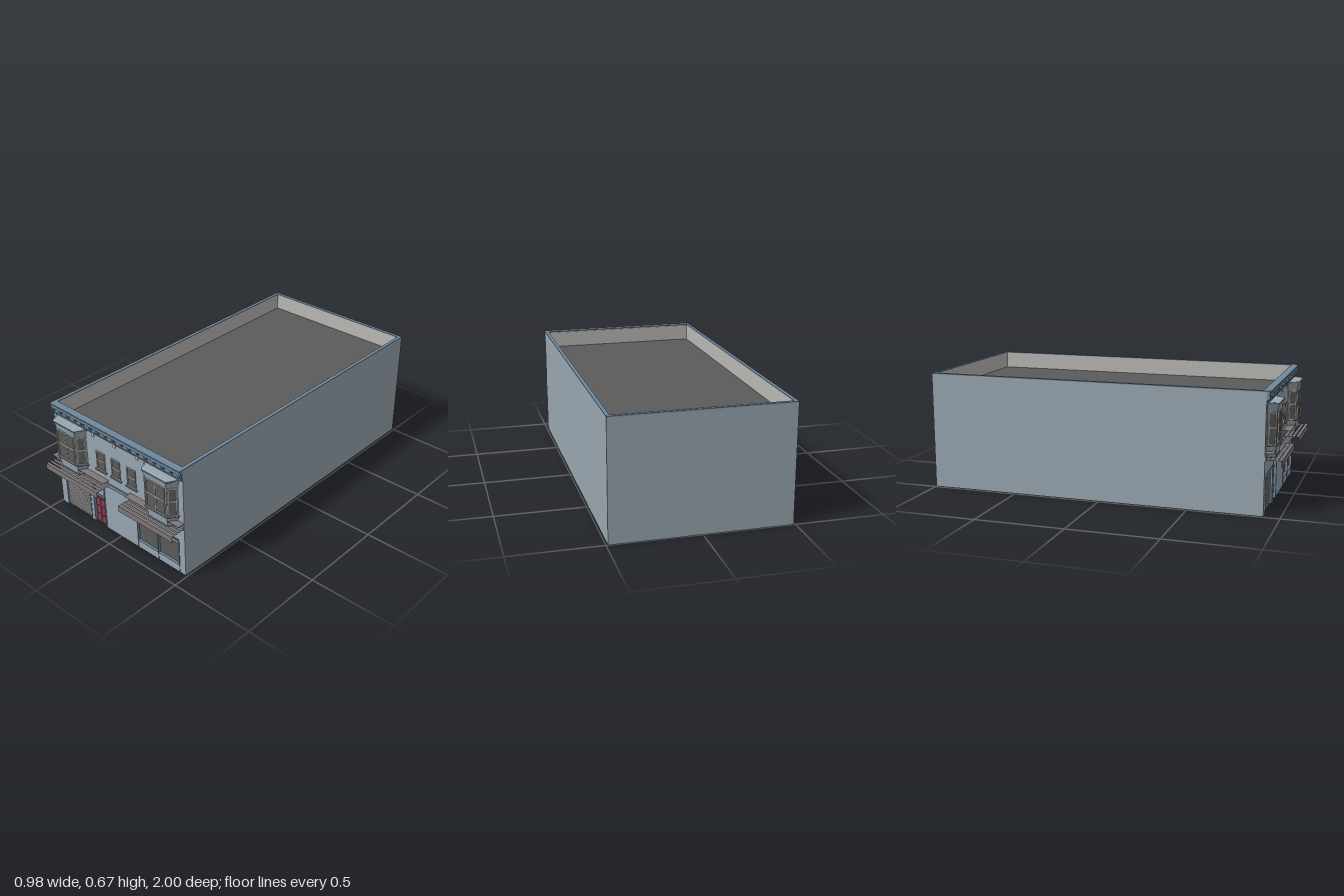
import * as THREE from 'three';

const mat = (name, color, side = THREE.FrontSide) => {
  const m = new THREE.MeshStandardMaterial({ color, side });
  m.name = name;
  return m;
};

export function createModel() {
  const wall = mat('pale blue wall', 0x98a6b0);
  const trim = mat('blue trim', 0x6f879b);
  const roofGrey = mat('roof and glass grey', 0x5b5b5b);
  const plaster = mat('light plaster', 0xbab8b4);
  const frame = mat('window frame', 0xc4beb5);
  const red = mat('door red', 0x833f4e);
  const canopyGrey = mat('canopy grey', 0x7e7677);

  const model = new THREE.Group();
  model.name = 'shopBuilding';

  // box given by its limits along each axis
  const box = (parent, name, m, x0, x1, y0, y1, z0, z1) => {
    const mesh = new THREE.Mesh(new THREE.BoxGeometry(x1 - x0, y1 - y0, z1 - z0), m);
    mesh.position.set((x0 + x1) / 2, (y0 + y1) / 2, (z0 + z1) / 2);
    mesh.name = name;
    parent.add(mesh);
    return mesh;
  };
  const group = (name, parent = model) => {
    const g = new THREE.Group();
    g.name = name;
    parent.add(g);
    return g;
  };

  const W = 0.49, H = 0.665, F = 0.91, B = -1, T = 0.02;

  // shell: side, back and front walls, open underneath
  const shell = group('shell');
  for (const s of [-1, 1]) {
    const a = s * W, b = s * (W - T + 0.004), c = s * (W - T);
    box(shell, 'sideWall', wall, Math.min(a, b), Math.max(a, b), 0, H - 0.006, B, F);
    box(shell, 'sideLining', plaster, Math.min(b, c), Math.max(b, c), 0, H - 0.006, B + T, F - T);
    box(shell, 'sideCoping', trim, Math.min(a, c), Math.max(a, c), H - 0.006, H, B, F);
  }
  box(shell, 'backWall', wall, -W + 0.016, W - 0.016, 0, H - 0.006, B, B + T - 0.004);
  box(shell, 'backLining', plaster, -W + T, W - T, 0, H - 0.006, B + T - 0.004, B + T);
  box(shell, 'backCoping', trim, -W + T, W - T, H - 0.006, H, B, B + T);
  box(shell, 'frontLining', plaster, -W + T, W - T, 0, H - 0.006, F - T - 0.004, F - T);
  box(shell, 'roof', roofGrey, -W + T, W - T, 0.555, 0.565, B + T, F - T - 0.004);

  // front wall with openings for garage, door and shop window
  const outline = new THREE.Shape();
  [[-0.474, 0], [-0.445, 0], [-0.445, 0.215], [-0.235, 0.215], [-0.235, 0], [-0.215, 0],
    [-0.215, 0.27], [-0.113, 0.27], [-0.113, 0], [0.474, 0], [0.474, H - 0.006], [-0.474, H - 0.006]]
    .forEach(([x, y], i) => (i ? outline.lineTo(x, y) : outline.moveTo(x, y)));
  const hole = new THREE.Path();
  hole.moveTo(0.135, 0.047);
  hole.lineTo(0.135, 0.215);
  hole.lineTo(0.45, 0.215);
  hole.lineTo(0.45, 0.047);
  hole.closePath();
  outline.holes.push(hole);
  const front = new THREE.Mesh(
    new THREE.ExtrudeGeometry(outline, { depth: T, bevelEnabled: false }), wall);
  front.position.z = F - T;
  front.name = 'frontWall';
  shell.add(front);

  // garage shutter with ribs
  const garage = group('garage');
  box(garage, 'shutter', plaster, -0.44, -0.24, 0, 0.213, F - T, F - 0.012);
  for (let i = 0; i < 16; i++)
    box(garage, 'shutterRib', plaster, -0.44, -0.24, 0.003 + i * 0.0132, 0.011 + i * 0.0132, F - 0.012, F - 0.008);
  for (const x of [-0.445, -0.24]) box(garage, 'jamb', trim, x, x + 0.005, 0, 0.215, F - T, F + 0.002);
  box(garage, 'lintel', trim, -0.445, -0.235, 0.212, 0.215, F - T, F + 0.002);

  // recessed entrance
  const entrance = group('entrance');
  box(entrance, 'door', red, -0.207, -0.121, 0, 0.18, F - T, F - 0.012);
  for (const x of [-0.199, -0.161])
    for (const y of [0.012, 0.068, 0.124])
      box(entrance, 'doorPanel', red, x, x + 0.032, y, y + 0.045, F - 0.012, F - 0.009);
  box(entrance, 'transom', trim, -0.207, -0.121, 0.18, 0.193, F - T, F - 0.008);
  box(entrance, 'upperPanel', wall, -0.207, -0.121, 0.193, 0.27, F - T, F - 0.012);
  for (const x of [-0.215, -0.121]) box(entrance, 'post', trim, x, x + 0.008, 0, 0.27, F - T, F + 0.003);
  const knob = new THREE.Mesh(new THREE.SphereGeometry(0.004, 10, 8), frame);
  knob.position.set(-0.129, 0.073, F - 0.007);
  knob.name = 'doorKnob';
  entrance.add(knob);

  // shop window
  const shop = group('shopWindow');
  box(shop, 'shopGlass', roofGrey, 0.135, 0.45, 0.047, 0.215, F - T, F - 0.012);
  for (const x of [0.135, 0.2905, 0.446]) box(shop, 'mullion', trim, x, x + 0.004, 0, 0.215, F - T, F + 0.003);
  for (const y of [0.045, 0.184, 0.211]) box(shop, 'rail', trim, 0.135, 0.45, y, y + 0.004, F - T, F + 0.002);

  // framed window facing +z, centred on x = 0, standing on y = 0
  const makeWindow = (name, parent, w, h, cols) => {
    const g = group(name, parent), f = 0.005;
    box(g, 'glass', roofGrey, -w / 2, w / 2, 0, h, -0.002, 0.002);
    for (const s of [-1, 1]) {
      const x = s * (w - f) / 2;
      box(g, 'stile', frame, x - f / 2, x + f / 2, 0, h, -0.002, 0.006);
    }
    for (const y of [0, h - f]) box(g, 'rail', frame, -w / 2, w / 2, y, y + f, -0.002, 0.006);
    box(g, 'meetingRail', frame, -w / 2, w / 2, h * 0.53 - 0.003, h * 0.53 + 0.003, -0.002, 0.005);
    for (let i = 1; i < cols; i++) {
      const x = -w / 2 + (w * i) / cols;
      box(g, 'muntin', frame, x - 0.0018, x + 0.0018, 0, h, -0.002, 0.004);
    }
    return g;
  };

  // three small upper windows and the vents above
  for (const x of [-0.12, -0.003, 0.116]) {
    makeWindow('smallWindow', model, 0.064, 0.115, 1).position.set(x, 0.385, F + 0.001);
    box(model, 'windowSill', trim, x - 0.042, x + 0.042, 0.377, 0.384, F - 0.002, F + 0.012);
  }
  for (const x of [-0.17, -0.003, 0.165])
    box(model, 'vent', frame, x - 0.009, x + 0.009, 0.579, 0.6, F - 0.002, F + 0.005);

  // solid lofted through trapezoid sections [y, half front, half back, front z]
  const loft = (parent, name, m, sections) => {
    const rings = sections.map(([y, f, b, z]) =>
      [[-b, y, F - 0.001], [-f, y, z], [f, y, z], [b, y, F - 0.001]]);
    const pos = [];
    const quad = (a, b, c, d) => pos.push(...a, ...b, ...c, ...a, ...c, ...d);
    for (let i = 0; i + 1 < rings.length; i++)
      for (let j = 0; j < 3; j++)
        quad(rings[i][j], rings[i][j + 1], rings[i + 1][j + 1], rings[i + 1][j]);
    const top = rings[rings.length - 1], low = rings[0];
    quad(top[0], top[1], top[2], top[3]);
    quad(low[3], low[2], low[1], low[0]);
    const geo = new THREE.BufferGeometry();
    geo.setAttribute('position', new THREE.Float32BufferAttribute(pos, 3));
    geo.computeVertexNormals();
    const mesh = new THREE.Mesh(geo, m);
    mesh.name = name;
    parent.add(mesh);
  };

  // bay windows
  for (const s of [-1, 1]) {
    const bay = group('bayWindow');
    bay.position.x = s * 0.343;
    loft(bay, 'bayBody', wall, [[0.308, 0.068, 0.1, 0.95], [0.335, 0.07, 0.103, 0.953],
      [0.362, 0.075, 0.112, 0.957], [0.548, 0.075, 0.112, 0.957], [0.56, 0.077, 0.114, 0.959],
      [0.59, 0.085, 0.122, 0.966]]);
    loft(bay, 'bayFoot', trim, [[0.303, 0.07, 0.103, 0.953], [0.309, 0.07, 0.103, 0.953]]);
    loft(bay, 'baySill', trim, [[0.366, 0.08, 0.119, 0.965], [0.372, 0.08, 0.119, 0.965]]);
    loft(bay, 'bayCornice', trim, [[0.586, 0.087, 0.123, 0.968], [0.594, 0.087, 0.123, 0.968]]);
    loft(bay, 'bayCap', wall, [[0.594, 0.085, 0.121, 0.966], [0.597, 0.08, 0.116, 0.96]]);
    makeWindow('bayFrontWindow', bay, 0.132, 0.172, 2).position.set(0, 0.374, 0.958);
    for (const k of [-1, 1]) {
      const side = makeWindow('baySideWindow', bay, 0.048, 0.172, 1);
      side.position.set(k * 0.094, 0.374, 0.934);
      side.rotation.y = k * Math.atan2(0.047, 0.037);
    }
  }

  // belt course
  box(model, 'beltCourse', trim, -W, W, 0.298, 0.32, F - 0.001, F + 0.006);

  // canopies: thin slats and a hanging front board
  for (const [x0, x1] of [[-W, -0.07], [0.097, W]]) {
    const canopy = group('canopy');
    box(canopy, 'upperSlat', canopyGrey, x0, x1, 0.3365, 0.3385, F, 0.952);
    for (const z of [0.916, 0.938, 0.96, 0.982])
      box(canopy, 'lowerSlat', canopyGrey, x0, x1, 0.303, 0.305, z, z + 0.016);
    box(canopy, 'frontBoard', canopyGrey, x0, x1, 0.27, 0.305, 0.997, 1);
  }

  // main cornice, stepped outward towards the top
  const cornice = group('cornice');
  box(cornice, 'lowerMoulding', trim, -W, W, 0.599, 0.606, F - 0.001, F + 0.006);
  box(cornice, 'frieze', trim, -W, W, 0.606, 0.638, F - 0.001, F + 0.003);
  box(cornice, 'upperMoulding', trim, -W, W, 0.636, 0.657, F - 0.001, F + 0.016);
  box(cornice, 'crown', trim, -W, W, 0.657, H, F - T, F + 0.022);

  // brackets below the cornice, large and small in turn
  const bracketShape = new THREE.Shape();
  bracketShape.moveTo(0, 0);
  bracketShape.lineTo(0.007, 0);
  bracketShape.lineTo(0.009, 0.016);
  bracketShape.lineTo(0.018, 0.024);
  bracketShape.lineTo(0.018, 0.038);
  bracketShape.lineTo(0, 0.038);
  const bracketGeo = new THREE.ExtrudeGeometry(bracketShape, { depth: 0.012, bevelEnabled: false });
  bracketGeo.translate(0, 0, -0.006);
  bracketGeo.rotateY(-Math.PI / 2);
  for (let i = 0; i <= 16; i++) {
    const bracket = new THREE.Mesh(bracketGeo, trim);
    const small = i % 2;
    bracket.position.set(-0.48 + i * 0.06, small ? 0.611 : 0.6, F);
    if (small) bracket.scale.set(0.7, 0.7, 0.9);
    bracket.name = small ? 'smallBracket' : 'largeBracket';
    cornice.add(bracket);
  }

  return model;
}
